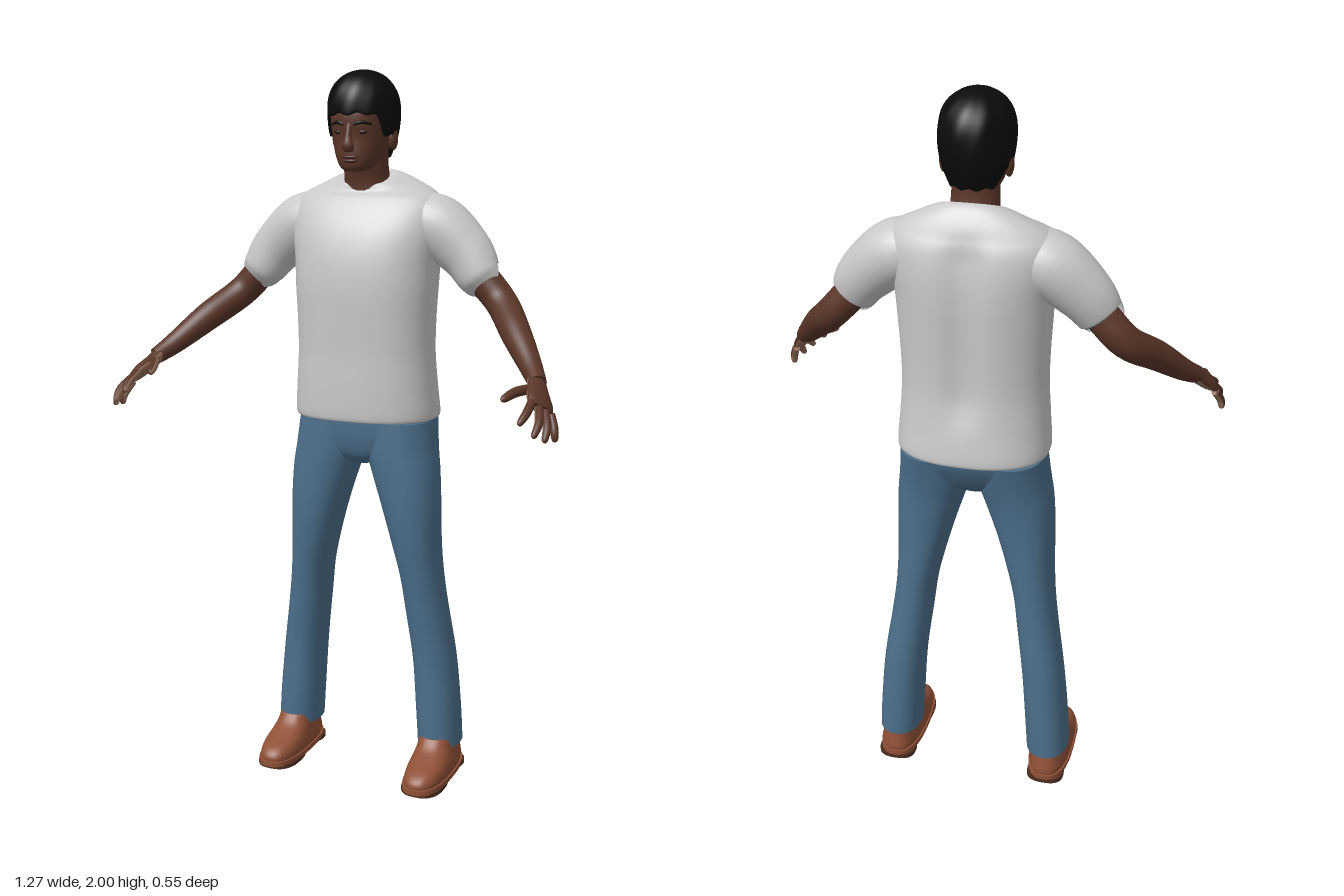
import * as THREE from 'three';

const mat = (name, color) => Object.assign(new THREE.MeshStandardMaterial({ color }), { name });
const V = (x, y, z) => new THREE.Vector3(x, y, z);
const { smoothstep } = THREE.MathUtils;

// Smooth interpolation through a list of number rows, t from 0 to 1
function spline(list, t) {
  const last = list.length - 1;
  const x = Math.min(Math.max(t, 0), 1) * last;
  const i = Math.min(Math.floor(x), last - 1), f = x - i;
  const [a, b, c, d] = [Math.max(i - 1, 0), i, i + 1, Math.min(i + 2, last)].map(k => list[k]);
  return b.map((q, k) => 0.5 * (2 * q + (c[k] - a[k]) * f + (2 * a[k] - 5 * q + 4 * c[k] - d[k]) * f * f
    + (3 * q - a[k] - 3 * c[k] + d[k]) * f * f * f));
}

// Closed skin through rings: point(j, angle); the second half of the faces is the underside
function skin(rows, cols, point, caps = true) {
  const pos = [], idx = [];
  const ring = j => {
    const start = pos.length / 3;
    for (let i = 0; i < cols; i++) pos.push(...point(j, i / cols * Math.PI * 2).toArray());
    return start;
  };
  for (let j = 0; j <= rows; j++) ring(j);
  const ends = caps ? [0, rows].map(j => {
    const start = ring(j), c = V(0, 0, 0);
    for (let i = 0; i < cols; i++) c.add(V(...pos.slice((start + i) * 3, (start + i) * 3 + 3)));
    pos.push(...c.divideScalar(cols).toArray());
    return start;
  }) : null;
  for (let i = 0; i < cols; i++) {
    const n = (i + 1) % cols;
    for (let j = 0; j < rows; j++) {
      const a = j * cols, b = a + cols;
      idx.push(a + i, b + i, a + n, a + n, b + i, b + n);
    }
    if (ends) {
      const [lo, hi] = ends;
      idx.push(lo + cols, lo + i, lo + n, hi + cols, hi + n, hi + i);
    }
  }
  const geo = new THREE.BufferGeometry();
  geo.setAttribute('position', new THREE.Float32BufferAttribute(pos, 3));
  geo.setIndex(idx);
  geo.computeVertexNormals();
  return geo;
}

// Horizontal rings: [y, centre x, half width, front z, back z]
function stack(list, rows = 30, power = 2.3, cols = 40, bend = p => p) {
  const e = 2 / power, s = v => Math.sign(v) * Math.abs(v) ** e;
  return skin(rows, cols, (j, a) => {
    const [y, cx, w, zf, zb] = spline(list, j / rows);
    return bend(V(cx + w * s(Math.cos(a)), y, (zf + zb) / 2 + (zf - zb) / 2 * s(Math.sin(a))));
  });
}

// Limb along a path: [x, y, z, half width along the side axis, half thickness]
function limb(list, side = V(0, 0, 1), rows = 16, cols = 20) {
  return skin(rows, cols, (j, a) => {
    const t = j / rows, p = spline(list, t);
    const dir = V(...spline(list, t + 0.02)).sub(V(...spline(list, t - 0.02))).normalize();
    const u = side.clone().addScaledVector(dir, -side.dot(dir)).normalize();
    const v = u.clone().cross(dir);
    return V(p[0], p[1], p[2]).addScaledVector(u, p[3] * Math.cos(a)).addScaledVector(v, p[4] * Math.sin(a));
  });
}

function mirror(geo) {
  const g = geo.clone().scale(-1, 1, 1), ix = g.index.array;
  for (let i = 0; i < ix.length; i += 3) [ix[i], ix[i + 1]] = [ix[i + 1], ix[i]];
  g.computeVertexNormals();
  return g;
}

const blob = (x, y, z, a, b, c) => new THREE.SphereGeometry(1, 20, 14).scale(a, b, c).translate(x, y, z);

export function createModel() {
  const model = new THREE.Group();
  model.name = 'standingMan';
  const skinTone = mat('skin', 0x5a3628), palmTone = mat('palm', 0x94705a), lipTone = mat('lips', 0x4a2823);
  const eyeTone = mat('eyes', 0x21150f), hairTone = mat('hair', 0x0b0b0b), cloth = mat('shirtCloth', 0xc9c9c9);
  const denim = mat('denim', 0x4c6f8b), leather = mat('shoeLeather', 0x8f5036), soleTone = mat('shoeSole', 0x4d2e21);

  const add = (name, geo, material) => {
    const m = new THREE.Mesh(geo, material);
    m.name = name;
    model.add(m);
  };
  const pair = (name, geo, material) => {
    add(name + 'Left', geo, material);
    add(name + 'Right', mirror(geo), material);
  };

  // Head, neck and face
  add('head', stack([
    [1.733, 0, 0.022, -0.005, -0.05], [1.745, 0, 0.043, 0.008, -0.09], [1.775, 0, 0.062, 0.013, -0.14],
    [1.82, 0, 0.075, 0.013, -0.17], [1.86, 0, 0.08, 0.02, -0.19], [1.9, 0, 0.082, 0.016, -0.19],
    [1.95, 0, 0.066, -0.01, -0.17], [1.975, 0, 0.03, -0.05, -0.13]]), skinTone);
  add('neck', stack([[1.64, 0, 0.075, -0.06, -0.18], [1.7, 0, 0.064, -0.06, -0.168],
    [1.75, 0, 0.06, -0.045, -0.16], [1.8, 0, 0.06, -0.04, -0.16]], 12), skinTone);
  add('nose', limb([[0, 1.858, 0.012, 0.008, 0.008], [0, 1.825, 0.02, 0.01, 0.009],
    [0, 1.8, 0.023, 0.013, 0.017], [0, 1.788, 0.016, 0.008, 0.014]], V(0, 0, 1), 12), skinTone);
  add('upperLip', blob(0, 1.771, 0.011, 0.024, 0.005, 0.009), lipTone);
  add('lowerLip', blob(0, 1.761, 0.009, 0.02, 0.006, 0.009), lipTone);
  pair('eye', blob(0.033, 1.836, 0.005, 0.014, 0.006, 0.007), eyeTone);
  pair('brow', limb([[0.014, 1.855, 0.016, 0.005, 0.004], [0.034, 1.861, 0.012, 0.005, 0.005],
    [0.056, 1.856, -0.006, 0.004, 0.003]], V(0, 0, 1), 8, 10), hairTone);
  pair('ear', blob(0.082, 1.82, -0.095, 0.012, 0.032, 0.02), skinTone);

  // Hair cap with a fringe, sideburns and a longer back
  add('hair', skin(18, 64, (j, a) => {
    const s = Math.sin(a), mid = 1.89;
    const low = 1.882 - 0.055 * smoothstep(-s, -0.75, -0.35) - 0.055 * smoothstep(-s, 0.1, 0.7) + 0.004 * Math.sin(a * 11);
    const y = low + (2 - low) * Math.sin(Math.max(j - 1, 0) / 17 * Math.PI / 2);
    let r = y > mid ? Math.sqrt(Math.max(0, 1 - ((y - mid) / (2 - mid)) ** 2.4)) : 1 - 0.25 * ((mid - y) / 0.12) ** 2;
    r *= (j === 0 ? 0.78 : 1) * (1 + 0.012 * Math.sin(a * 9 + y * 30));
    return V(0.096 * r * Math.cos(a), y, -0.087 + 0.117 * r * s);
  }, false), hairTone);

  // T-shirt body, with a dipped collar and a hollow down the back
  add('shirtBody', stack([
    [1.056, 0, 0.195, 0.02, -0.262], [1.066, 0, 0.206, 0.03, -0.274], [1.15, 0, 0.2, 0.033, -0.263],
    [1.24, 0, 0.194, 0.033, -0.255], [1.33, 0, 0.195, 0.036, -0.256], [1.42, 0, 0.2, 0.038, -0.26],
    [1.5, 0, 0.205, 0.031, -0.263], [1.57, 0, 0.217, 0.012, -0.26], [1.63, 0, 0.222, -0.018, -0.248],
    [1.67, 0, 0.198, -0.045, -0.227], [1.698, 0, 0.135, -0.06, -0.2], [1.717, 0, 0.085, -0.064, -0.178],
    [1.719, 0, 0.07, -0.066, -0.168]], 60, 2.4, 64, p => {
    p.y -= (p.z + 0.12) * 0.4 * smoothstep(p.y, 1.66, 1.715);
    if (p.z < -0.15) p.z += 0.022 * Math.exp(-((p.x / 0.045) ** 2)) * smoothstep(p.y, 1.12, 1.25) * (1 - smoothstep(p.y, 1.6, 1.69));
    return p;
  }), cloth);
  pair('sleeve', limb([[0.12, 1.605, -0.135, 0.08, 0.075], [0.2, 1.585, -0.135, 0.088, 0.085],
    [0.28, 1.52, -0.13, 0.07, 0.075], [0.32, 1.466, -0.12, 0.058, 0.064], [0.326, 1.458, -0.12, 0.054, 0.06]],
  V(0, 0, 1), 24, 32), cloth);
  pair('sleeveLining', limb([[0.318, 1.467, -0.12, 0.048, 0.054], [0.328, 1.455, -0.12, 0.048, 0.054]], V(0, 0, 1), 1, 32), denim);

  // Arms
  pair('arm', limb([[0.25, 1.54, -0.125, 0.043, 0.043], [0.325, 1.46, -0.122, 0.046, 0.045],
    [0.392, 1.388, -0.112, 0.045, 0.043], [0.46, 1.32, -0.025, 0.04, 0.04], [0.525, 1.25, 0.055, 0.029, 0.03],
    [0.558, 1.217, 0.105, 0.025, 0.023]], V(0, 0, 1), 30, 28), skinTone);

  // Hands: brown backs and paler palms
  const across = V(-0.05, 0.04, 0.045);
  const handPart = (name, path) => {
    const g = limb(path, across, 12, 16), half = g.index.count / 2;
    g.addGroup(0, half, 0);
    g.addGroup(half, half, 1);
    pair(name, g, [skinTone, palmTone]);
  };
  handPart('palm', [[0.55, 1.225, 0.092, 0.024, 0.02], [0.565, 1.2, 0.125, 0.033, 0.019],
    [0.58, 1.18, 0.158, 0.04, 0.018], [0.59, 1.165, 0.18, 0.038, 0.013]]);
  const fingers = {
    indexFinger: [[0.568, 1.184, 0.187], [0.569, 1.164, 0.235], [0.56, 1.14, 0.27]],
    middleFinger: [[0.584, 1.172, 0.18], [0.599, 1.142, 0.228], [0.596, 1.11, 0.265]],
    ringFinger: [[0.597, 1.16, 0.168], [0.614, 1.128, 0.207], [0.616, 1.094, 0.235]],
    littleFinger: [[0.608, 1.148, 0.152], [0.623, 1.116, 0.173], [0.628, 1.086, 0.18]],
    thumb: [[0.555, 1.206, 0.12], [0.525, 1.204, 0.172], [0.502, 1.19, 0.228]],
  };
  for (const [name, [a, b, c]] of Object.entries(fingers)) {
    const r = name === 'thumb' ? 0.013 : 0.011;
    const nearTip = b.map((q, k) => q + (c[k] - q) * 0.8);
    handPart(name, [[...a, r, r], [...b, r, r], [...nearTip, r * 0.75, r * 0.75], [...c, 0.002, 0.002]]);
  }

  // Jeans
  add('jeansSeat', stack([[0.925, 0, 0.04, -0.05, -0.16], [0.955, 0, 0.13, -0.025, -0.2],
    [1.0, 0, 0.196, -0.012, -0.232], [1.05, 0, 0.199, -0.008, -0.255], [1.09, 0, 0.19, -0.01, -0.25]], 20), denim);
  pair('jeansLeg', stack([[0.09, 0.225, 0.061, -0.058, -0.226], [0.2, 0.218, 0.061, -0.057, -0.226],
    [0.35, 0.205, 0.059, -0.058, -0.222], [0.5, 0.184, 0.057, -0.045, -0.21], [0.6, 0.171, 0.057, -0.032, -0.205],
    [0.7, 0.156, 0.066, -0.018, -0.204], [0.8, 0.141, 0.08, -0.01, -0.206], [0.9, 0.122, 0.094, -0.008, -0.214],
    [0.97, 0.107, 0.1, -0.008, -0.228], [1.05, 0.102, 0.096, -0.01, -0.25]], 40, 2.2), denim);

  // Shoes: upper, welt, forefoot sole and heel
  pair('shoeUpper', stack([[0.022, 0.228, 0.058, 0.08, -0.226], [0.04, 0.228, 0.06, 0.08, -0.228],
    [0.06, 0.228, 0.057, 0.06, -0.224], [0.078, 0.227, 0.053, 0.012, -0.22], [0.098, 0.226, 0.051, -0.032, -0.216],
    [0.122, 0.225, 0.05, -0.055, -0.21]], 20, 2.5), leather);
  const slab = (y0, y1, w, zf, zb) => stack([[y0, 0.228, w, zf, zb], [y1, 0.228, w, zf, zb]], 1, 2.6);
  pair('shoeWelt', slab(0.013, 0.027, 0.063, 0.087, -0.232), leather);
  pair('shoeSole', slab(0.003, 0.014, 0.06, 0.076, -0.09), soleTone);
  pair('shoeHeel', slab(0, 0.014, 0.054, -0.14, -0.23), soleTone);
  return model;
}
